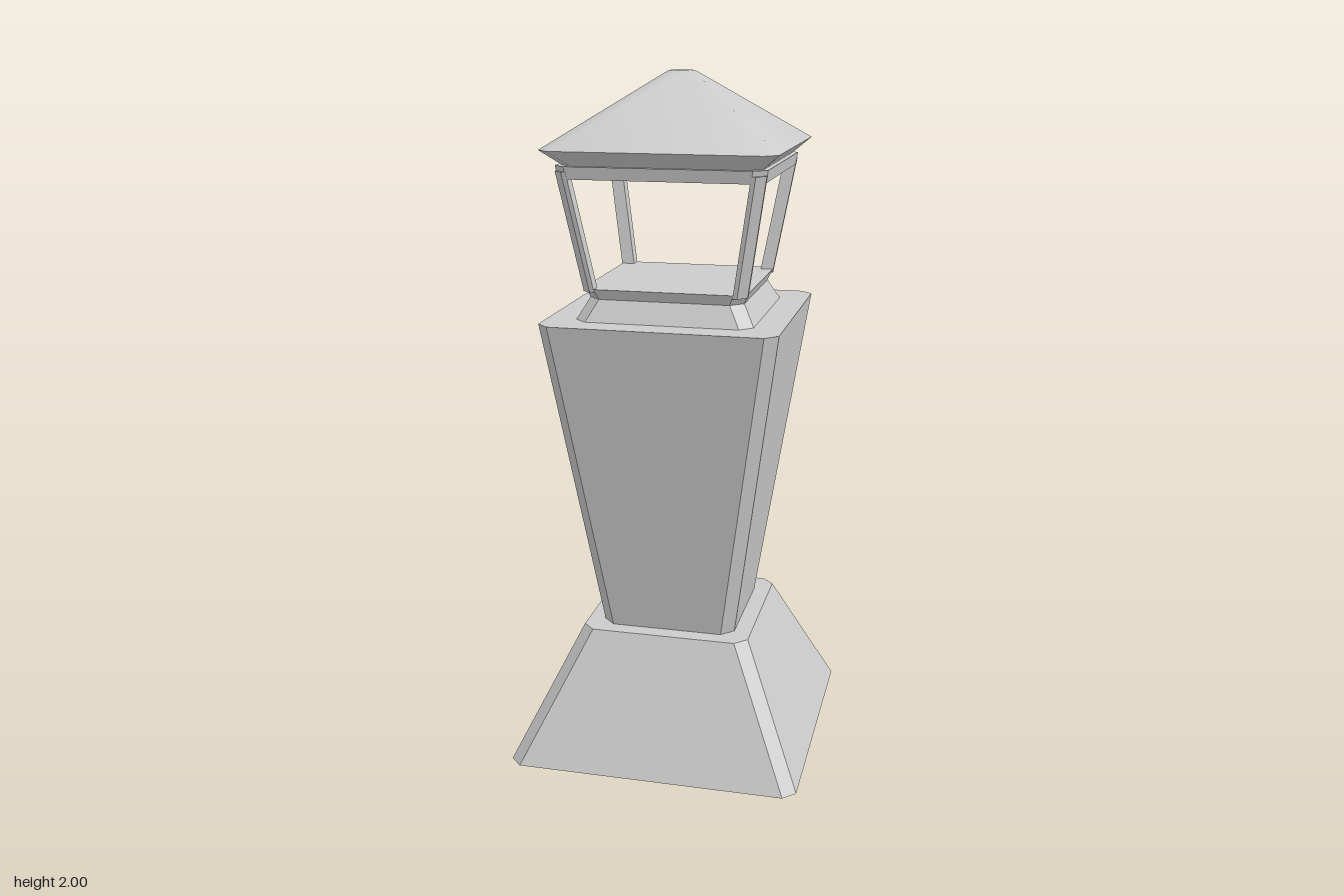
import * as THREE from 'three';
import { toCreasedNormals } from 'three/addons/utils/BufferGeometryUtils.js';

// Square ring with cut corners, counter-clockwise seen from above
function ring(y, half, cut = 0.035) {
  const i = half - cut;
  return [[half, i], [half, -i], [i, -half], [-i, -half], [-half, -i], [-half, i], [-i, half], [i, half]]
    .map(([x, z]) => [x, y, z]);
}

// Closed solid through rings of equal length, listed bottom to top
function loft(rings, crease = 0) {
  const n = rings[0].length;
  const last = (rings.length - 1) * n;
  const index = [];
  for (let r = 0; r < last; r += n) {
    for (let i = 0; i < n; i++) {
      const j = (i + 1) % n;
      index.push(r + i, r + j, r + n + j, r + i, r + n + j, r + n + i);
    }
  }
  for (let i = 1; i < n - 1; i++) {
    index.push(0, i + 1, i);
    index.push(last, last + i, last + i + 1);
  }
  const geometry = new THREE.BufferGeometry();
  geometry.setAttribute('position', new THREE.Float32BufferAttribute(rings.flat(2), 3));
  geometry.setIndex(index);
  if (crease) return toCreasedNormals(geometry, crease);
  const flat = geometry.toNonIndexed();
  flat.computeVertexNormals();
  return flat;
}

// Cross-section of the corner post at +x +z, outer corner cut
function postRing(y, half) {
  const w = 0.038, c = 0.025, i = half - w;
  return [[half, half - c], [half, i], [i, i], [i, half], [half - c, half]]
    .map(([x, z]) => [x, y, z]);
}

export function createModel() {
  const group = new THREE.Group();
  const material = new THREE.MeshStandardMaterial({ color: 0xcccccc });
  const add = (name, geometry) => {
    const mesh = new THREE.Mesh(geometry, material);
    mesh.name = name;
    group.add(mesh);
    return mesh;
  };

  // Spreading foot and upward-flaring pillar
  add('base', loft([ring(0, 0.43), ring(0.38, 0.25)]));
  add('pillar', loft([ring(0.38, 0.2), ring(1.32, 0.34)]));

  // Lantern floor: collar narrowing, then a small flared lip
  add('collar', loft([ring(1.32, 0.255), ring(1.38, 0.222), ring(1.41, 0.235)]));

  // Four leaning corner posts
  const postGeometry = loft([postRing(1.4, 0.235), postRing(1.74, 0.293)]);
  for (let i = 0; i < 4; i++) add('cornerPost' + (i + 1), postGeometry).rotation.y = i * Math.PI / 2;

  // Ceiling, sloping eave and smooth hipped roof
  add('ceiling', loft([ring(1.72, 0.289), ring(1.755, 0.295)]));
  add('eave', loft([ring(1.755, 0.28), ring(1.798, 0.33)]));
  add('roof', loft([ring(1.798, 0.33), ring(2, 0.035, 0.022)], 0.8));

  return group;
}
